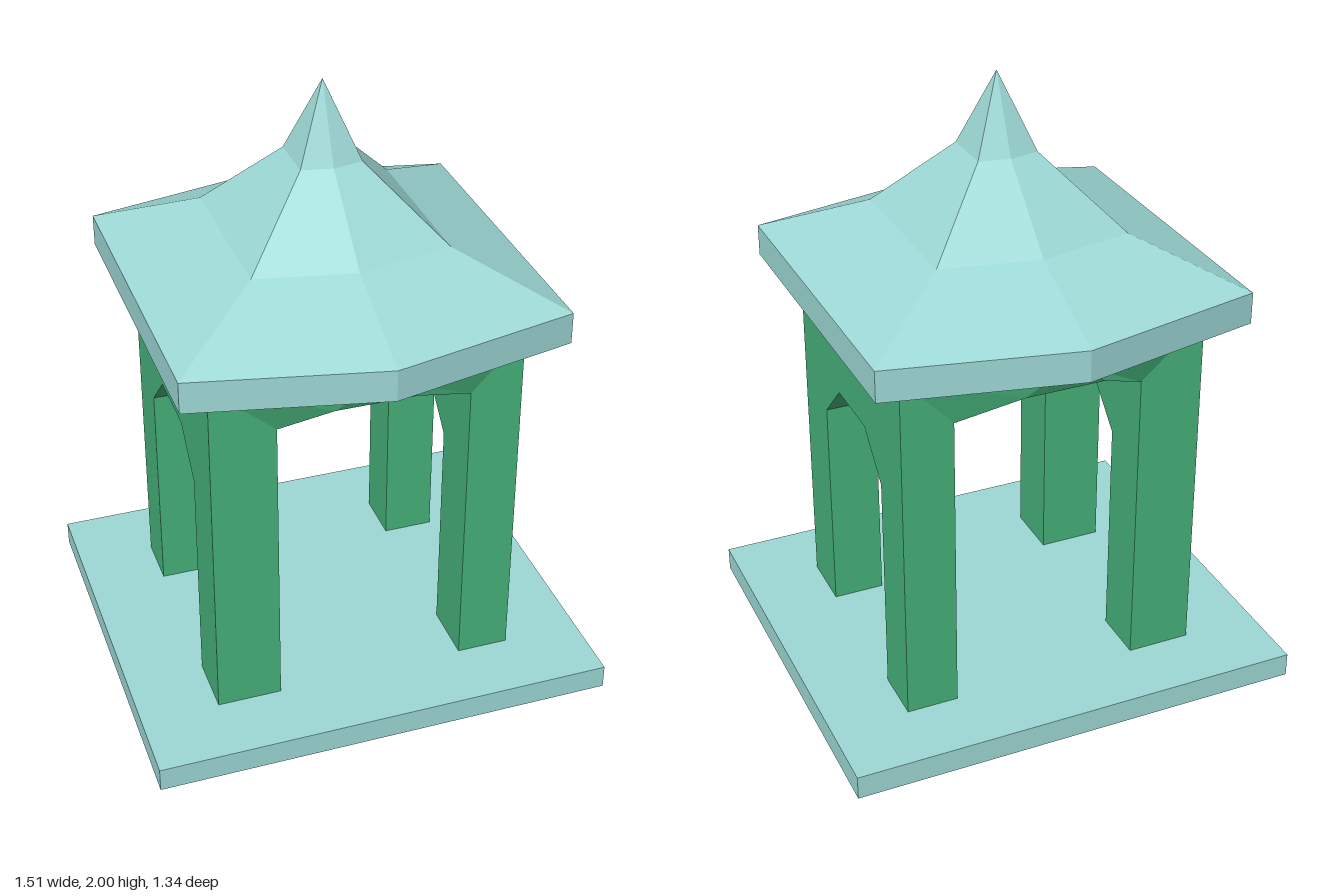
import * as THREE from 'three';

const teal = new THREE.MeshStandardMaterial({ color: 0x9dd9d6, side: THREE.DoubleSide, flatShading: true });
teal.name = 'pale teal';
const green = new THREE.MeshStandardMaterial({ color: 0x46b27a, side: THREE.DoubleSide, flatShading: true });
green.name = 'green';

function part(name, geometry, material) {
  const mesh = new THREE.Mesh(geometry, material);
  mesh.name = name;
  return mesh;
}

// Polygon faces (corner lists, counter-clockwise) to a flat-shaded geometry
function fromFaces(faces) {
  const positions = [];
  for (const f of faces) {
    for (let i = 1; i < f.length - 1; i++) positions.push(...f[0], ...f[i], ...f[i + 1]);
  }
  const geo = new THREE.BufferGeometry();
  geo.setAttribute('position', new THREE.Float32BufferAttribute(positions, 3));
  geo.computeVertexNormals();
  return geo;
}

// Drops the triangles lying on the lowest level, leaving a hollow shell
function openBottom(source) {
  const geo = source.index ? source.toNonIndexed() : source;
  geo.computeBoundingBox();
  const limit = geo.boundingBox.min.y + 1e-4;
  const p = geo.attributes.position;
  const faces = [];
  for (let i = 0; i < p.count; i += 3) {
    const tri = [0, 1, 2].map((k) => [p.getX(i + k), p.getY(i + k), p.getZ(i + k)]);
    if (tri.some((v) => v[1] > limit)) faces.push(tri);
  }
  return fromFaces(faces);
}

// Side wall with two legs and a chamfered arch, between x0 and x1
function sideWall(x0, x1) {
  const foot = 0.065;
  const outline = [
    [-0.44, foot], [-0.26, foot], [-0.26, 0.825], [-0.125, 0.96], [0.105, 0.96],
    [0.24, 0.825], [0.24, foot], [0.44, foot], [0.44, 1.28], [-0.44, 1.28],
  ].map(([z, y]) => new THREE.Vector2(z, y));
  const geo = new THREE.ExtrudeGeometry(new THREE.Shape(outline), { depth: x1 - x0, bevelEnabled: false });
  geo.rotateY(-Math.PI / 2).translate(x1, 0, 0);
  return openBottom(geo);
}

// Ceiling vault whose ends flare out to a shallow point under the eaves
function vault() {
  const top = [[-0.5, 1.28, 0.44], [0, 1.28, 0.55], [0.5, 1.28, 0.44]];
  const arch = [[-0.29, 1.1, 0.44], [-0.13, 1.172, 0.505], [0.13, 1.172, 0.505], [0.33, 1.1, 0.44]];
  const back = ([x, y, z]) => [x, y, -z];
  const ends = [
    [top[0], arch[0], arch[1], top[1]],
    [top[1], arch[1], arch[2]],
    [top[1], arch[2], arch[3], top[2]],
  ];
  const faces = [...ends, ...ends.map((f) => f.map(back).reverse())];
  for (let i = 0; i < 3; i++) faces.push([arch[i], back(arch[i]), back(arch[i + 1]), arch[i + 1]]);
  return fromFaces(faces);
}

// Six-sided swept roof built from shrinking rings
function roof() {
  const rings = [
    // corner x, corner z, point z, height
    [0.607, 0.535, 0.67, 1.28],
    [0.607, 0.535, 0.67, 1.383],
    [0.313, 0.277, 0.343, 1.526],
    [0.098, 0.086, 0.107, 1.755],
    [0, 0, 0, 2],
  ].map(([x, z, p, y]) => [[x, y, z], [x, y, -z], [0, y, -p], [-x, y, -z], [-x, y, z], [0, y, p]]);
  const faces = [[...rings[0]].reverse()];
  for (let r = 0; r < rings.length - 1; r++) {
    const [a, b] = [rings[r], rings[r + 1]];
    const last = r === rings.length - 2;
    for (let i = 0; i < 6; i++) {
      const j = (i + 1) % 6;
      faces.push(last ? [a[i], a[j], b[j]] : [a[i], a[j], b[j], b[i]]);
    }
  }
  return fromFaces(faces);
}

export function createModel() {
  const model = new THREE.Group();
  model.name = 'pavilion';
  const slab = new THREE.BoxGeometry(1.51, 0.08, 1.34).translate(0, 0.04, 0);
  model.add(
    part('base', openBottom(slab), teal),
    part('leftArchWall', sideWall(0.33, 0.5), green),
    part('rightArchWall', sideWall(-0.5, -0.29), green),
    part('ceilingVault', vault(), green),
    part('roof', roof(), teal),
  );
  return model;
}
